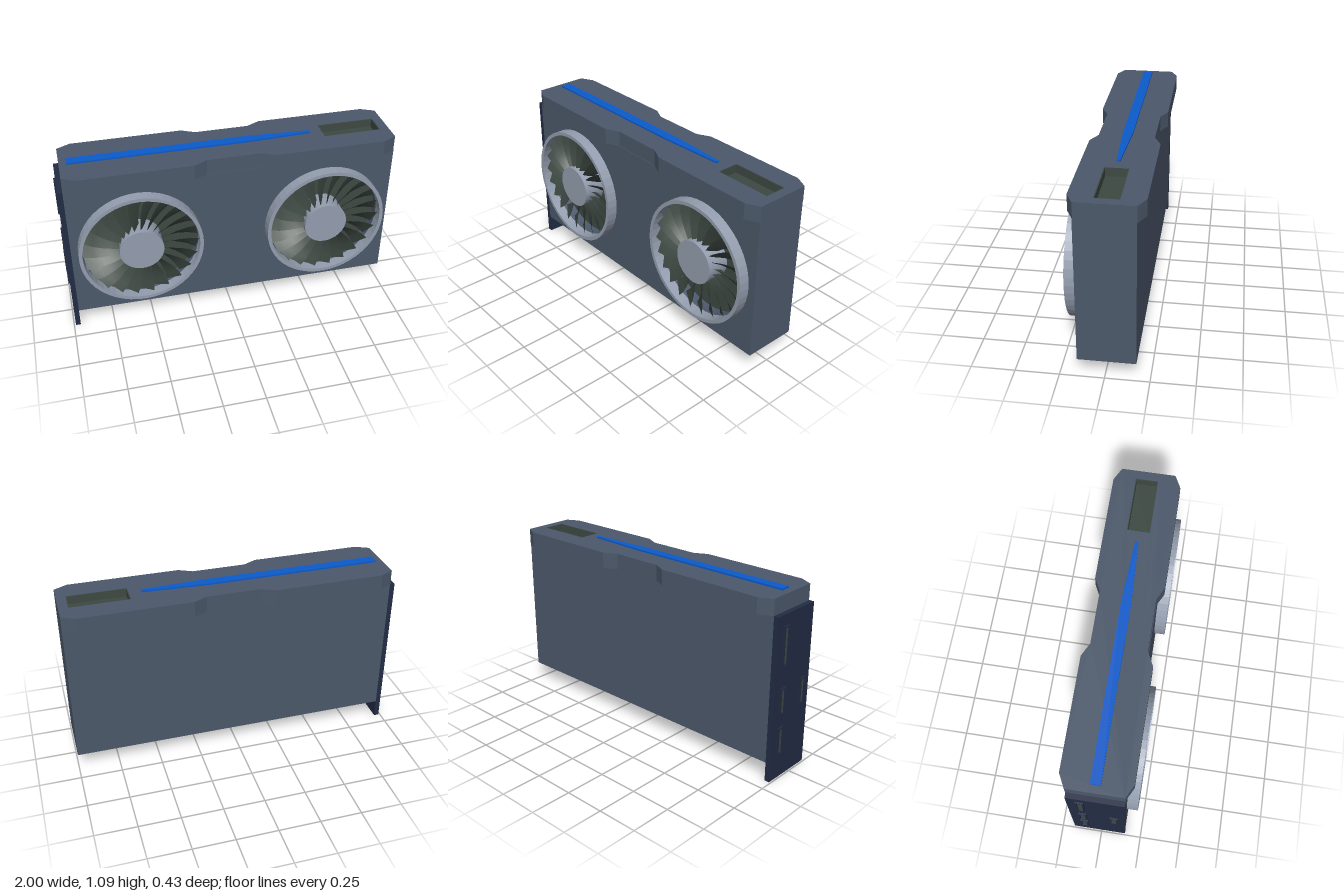
import * as THREE from 'three';

const mat = (name, color, side = THREE.FrontSide) => {
  const m = new THREE.MeshStandardMaterial({ color, side });
  m.name = name;
  return m;
};

export function createModel() {
  const shell = mat('slate shell', 0x4c596b);
  const silver = mat('silver trim', 0x949eaf);
  const navy = mat('navy bracket', 0x222c44);
  const blue = mat('blue light bar', 0x0b5bcc);
  const olive = mat('dark olive plastic', 0x3e4943, THREE.DoubleSide);

  const root = new THREE.Group();
  root.name = 'graphicsCard';

  const add = (name, geometry, material, parent = root) => {
    const mesh = new THREE.Mesh(geometry, material);
    mesh.name = name;
    parent.add(mesh);
    return mesh;
  };
  // Box given by its minimum and maximum corners
  const box = (name, a, b, material, parent) => {
    const mesh = add(name, new THREE.BoxGeometry(b[0] - a[0], b[1] - a[1], b[2] - a[2]), material, parent);
    mesh.position.set((a[0] + b[0]) / 2, (a[1] + b[1]) / 2, (a[2] + b[2]) / 2);
    return mesh;
  };
  const poly = (pts) => new THREE.Shape(pts.map(([x, y]) => new THREE.Vector2(x, y)));
  const rect = (x0, y0, x1, y1) => poly([[x0, y0], [x1, y0], [x1, y1], [x0, y1]]);
  const circle = (x, y, r) => new THREE.Shape().absarc(x, y, r, 0, Math.PI * 2, false);
  const extrude = (shape, depth) =>
    new THREE.ExtrudeGeometry(shape, { depth, bevelEnabled: false, curveSegments: 24 });
  // Outline in (x, z) raised from y0 to y1
  const slab = (name, shape, y0, y1, material) => {
    const geometry = extrude(shape, y1 - y0);
    geometry.rotateX(-Math.PI / 2).translate(0, y0, 0);
    return add(name, geometry, material);
  };

  const fanX = [-0.55, 0.585], fanY = 0.555;
  const floorZ = 0.07;

  // Main housing: rear block and front cover with fan openings
  box('housing', [-0.96, 0.115, -0.175], [1, 0.985, floorZ], shell);
  const cover = rect(-0.96, 0.115, 1, 0.985);
  fanX.forEach((x) => cover.holes.push(circle(x, fanY, 0.36)));
  add('frontCover', extrude(cover, 0.15 - floorZ), shell).position.z = floorZ;

  // Top cap: wider than the housing, with a narrow waist (shape y is -z)
  const edge = [[-0.96, 0], [-0.88, 0.04], [-0.22, 0.04], [-0.14, 0], [0.18, 0], [0.26, 0.04], [0.92, 0.04], [1, 0]];
  const cap = poly([
    ...edge.map(([x, d]) => [x, -0.147 - d]),
    ...edge.slice().reverse().map(([x, d]) => [x, 0.177 + d]),
  ]);
  cap.holes.push(rect(0.595, -0.05, 0.945, 0.085));
  slab('topCap', cap, 0.985, 1.08, shell);

  // Power socket: lined recess in the cap
  const lining = rect(0.595, -0.05, 0.945, 0.085);
  lining.holes.push(rect(0.6, -0.045, 0.94, 0.08));
  slab('socketLining', lining, 1.0, 1.079, olive);
  box('socketFloor', [0.595, 1.0, -0.085], [0.945, 1.03, 0.05], olive);

  // Tapered light bar
  slab('lightBar', poly([
    [-0.915, -0.012], [0.13, -0.012], [0.52, 0.005], [0.52, 0.025], [0.13, 0.047], [-0.915, 0.047],
  ]), 1.08, 1.09, blue);

  // Mounting bracket and its framed ports
  box('bracket', [-0.99, 0, -0.175], [-0.96, 0.985, 0.15], navy);
  const ports = [
    [0.69, 0.92, -0.1], [0.4, 0.56, -0.1], [0.15, 0.32, -0.1], [0.4, 0.56, 0.085],
  ];
  ports.forEach(([y0, y1, z], i) => {
    const port = new THREE.Group();
    port.name = `port${i + 1}`;
    root.add(port);
    const frame = rect(-0.024, y0, 0.024, y1);
    frame.holes.push(rect(-0.014, y0 + 0.01, 0.014, y1 - 0.01));
    const g = extrude(frame, 0.01);
    g.rotateY(-Math.PI / 2).translate(-0.99, 0, z);
    add('portFrame', g, navy, port);
    box('portSocket', [-0.993, y0 + 0.01, z - 0.014], [-0.99, y1 - 0.01, z + 0.014], olive, port);
  });

  // One pitched, slightly swept blade as a strip from hub to rim
  const bladeGeometry = () => {
    const pos = [], index = [], steps = 4;
    for (let i = 0; i <= steps; i++) {
      const t = i / steps, r = 0.12 + t * 0.226;
      const mid = -0.12 * t * t, half = 0.13 + 0.02 * t;
      [-1, 1].forEach((s) => {
        const a = mid + s * half;
        pos.push(r * Math.cos(a), r * Math.sin(a), 0.155 + s * (0.034 - 0.004 * t));
      });
      if (i < steps) {
        const k = i * 2;
        index.push(k, k + 2, k + 1, k + 1, k + 2, k + 3);
      }
    }
    const g = new THREE.BufferGeometry();
    g.setAttribute('position', new THREE.Float32BufferAttribute(pos, 3));
    g.setIndex(index);
    g.computeVertexNormals();
    return g;
  };
  const blade = bladeGeometry();
  const ring = circle(0, 0, 0.37);
  ring.holes.push(circle(0, 0, 0.348));
  const ringGeometry = extrude(ring, 0.065);

  // Fans
  fanX.forEach((x, f) => {
    const fan = new THREE.Group();
    fan.name = f ? 'leftFan' : 'rightFan';
    fan.position.set(x, fanY, 0);
    root.add(fan);
    add('fanRing', ringGeometry, silver, fan).position.z = 0.15;
    add('fanWellFloor', new THREE.CircleGeometry(0.36, 48), olive, fan).position.z = floorZ + 0.003;
    const hub = add('fanHub', new THREE.CylinderGeometry(0.132, 0.132, 0.135, 40), silver, fan);
    hub.rotation.x = Math.PI / 2;
    hub.position.z = 0.1425;
    const count = 22;
    for (let i = 0; i < count; i++) {
      add('fanBlade', blade, olive, fan).rotation.z = (i / count) * Math.PI * 2;
    }
  });

  return root;
}
